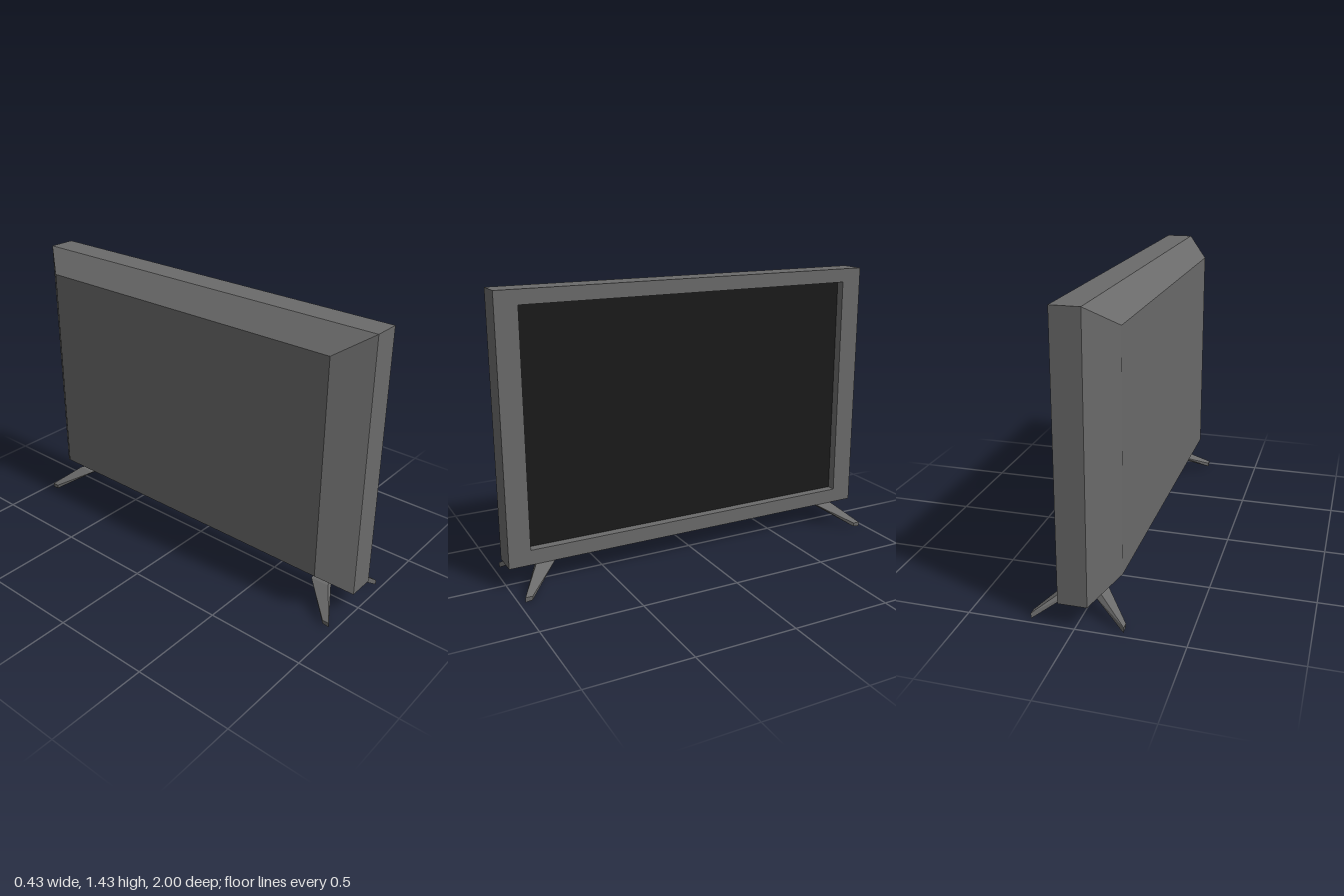
import * as THREE from 'three';
import { ConvexGeometry } from 'three/addons/geometries/ConvexGeometry.js';

const Y0 = 0.115, Y1 = 1.43;          // bottom and top of the cabinet
const BACK = -0.06, FRONT = 0.075;    // depth of the bezel along x

function rectangle(PathType, halfWidth, y0, y1) {
  return new PathType([[-halfWidth, y0], [halfWidth, y0], [halfWidth, y1], [-halfWidth, y1]]
    .map(([x, y]) => new THREE.Vector2(x, y)));
}

export function createModel() {
  const model = new THREE.Group();
  const casing = new THREE.MeshStandardMaterial({ color: 0x6a6a6a, flatShading: true });
  const glass = new THREE.MeshStandardMaterial({ color: 0x1a1a1a });

  const add = (name, geometry, material) => {
    const mesh = new THREE.Mesh(geometry, material);
    mesh.name = name;
    model.add(mesh);
    return mesh;
  };
  const hull = (points) => new ConvexGeometry(points.map((p) => new THREE.Vector3(...p)));

  // Bezel: rectangle with a screen opening, extruded towards +x
  const outline = rectangle(THREE.Shape, 1, Y0, Y1);
  outline.holes.push(rectangle(THREE.Path, 0.89, 0.19, 1.36));
  const bezel = new THREE.ExtrudeGeometry(outline, { depth: FRONT - BACK, bevelEnabled: false });
  bezel.rotateY(Math.PI / 2).translate(BACK, 0, 0);
  add('bezel', bezel, casing);

  // Recessed screen
  const screen = new THREE.BoxGeometry(0.08, 1.17, 1.78);
  add('screen', screen, glass).position.set(-0.01, 0.775, 0);

  // Back cover tapering away from the bezel
  const cover = [];
  for (const s of [-1, 1]) {
    cover.push([BACK, Y0, s], [BACK, Y1, s], [-0.177, 0.215, s * 0.85], [-0.177, 1.33, s * 0.85]);
  }
  add('backCover', hull(cover), casing);

  // Four splayed legs, each tapering from a wide root to a thin tip
  const leg = [
    [0.08, Y0, 0.87], [0.08, Y0, 0.775], [0.02, Y0, 0.85], [0.02, Y0, 0.765],
    [0.215, 0.025, 0.97], [0.215, 0.025, 0.935], [0.213, 0, 0.97], [0.213, 0.005, 0.935],
  ];
  for (const sx of [-1, 1]) {
    for (const sz of [-1, 1]) {
      const name = (sx > 0 ? 'front' : 'rear') + (sz > 0 ? 'Near' : 'Far') + 'Leg';
      add(name, hull(leg.map(([x, y, z]) => [x * sx, y, z * sz])), casing);
    }
  }
  return model;
}
